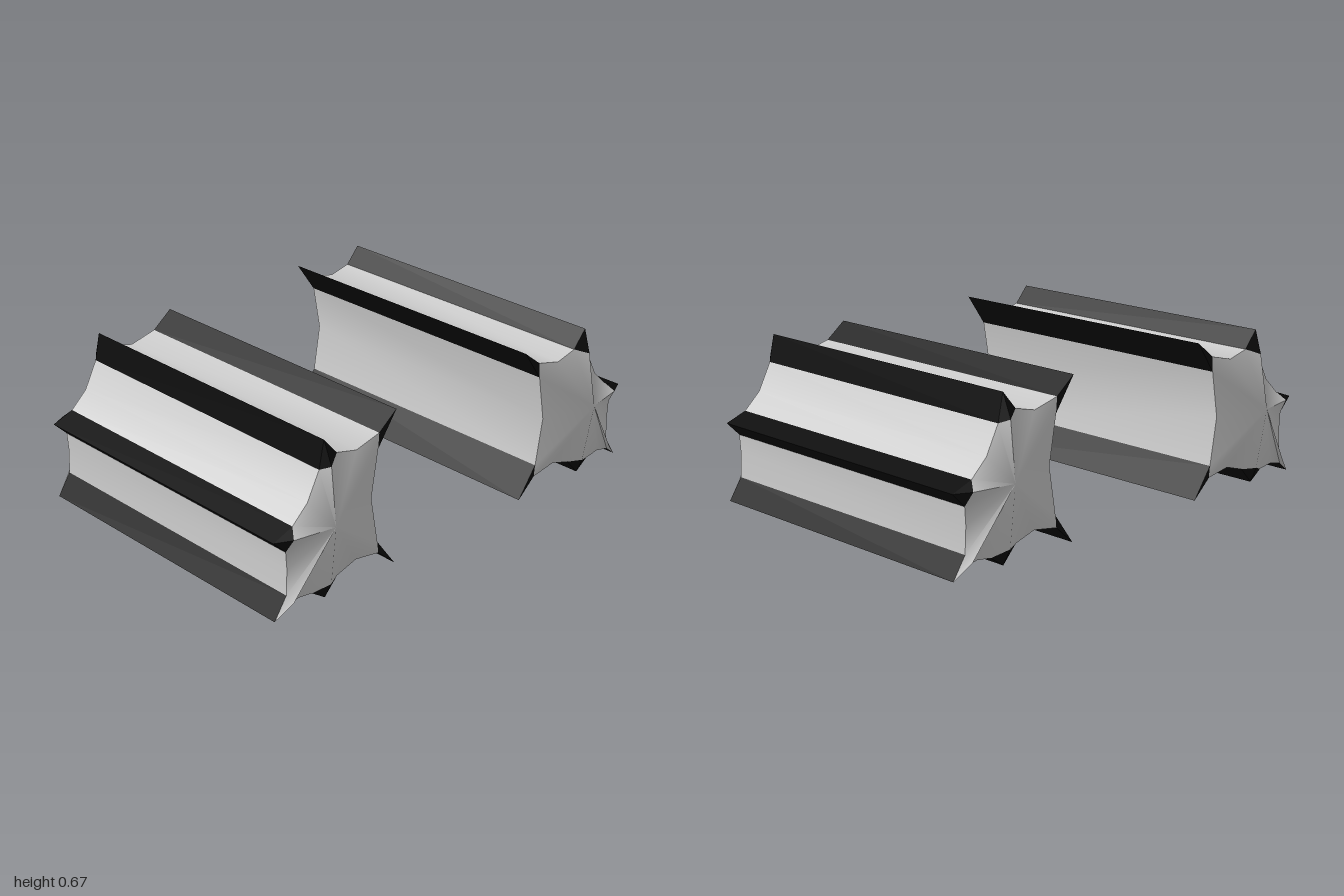
import * as THREE from 'three';
import { toCreasedNormals } from 'three/addons/utils/BufferGeometryUtils.js';

const HALF = 0.68; // half length of the body
const APEX = [0.75, 0.335, 0.75]; // centre of the domed end

// Ribs, clockwise seen from the front: edge, tip, edge, middle of the groove
// that follows, and (where the rib is bevelled) the raised inner point.
const RIBS = [
  { a: [0.465, 0.535], tip: [0.37, 0.67], b: [0.46, 0.6], mid: [0.58, 0.57] },
  { a: [0.68, 0.595], tip: [0.745, 0.67], b: [0.77, 0.555], mid: [0.83, 0.44], inner: [0.74, 0.57, 0.715] },
  { a: [0.905, 0.37], tip: [1, 0.335], b: [0.94, 0.275], mid: [0.935, 0.2], inner: [0.93, 0.335, 0.715] },
  { a: [0.94, 0.09], tip: [1, 0], b: [0.95, 0.04], mid: [0.88, 0.055], inner: [0.93, 0.065, 0.71], plain: true },
  { a: [0.81, 0.045], tip: [0.745, 0], b: [0.68, 0.07], mid: [0.58, 0.1], inner: [0.74, 0.07, 0.712] },
  { a: [0.46, 0.08], tip: [0.37, 0], b: [0.465, 0.13], mid: [0.5, 0.335] },
];

const grey = new THREE.MeshStandardMaterial({ color: 0xcccccc });
const black = new THREE.MeshStandardMaterial({ color: 0x0b0b0b });

// Collects triangles for one side (+1 left, -1 right) and makes a mesh
class Surface {
  constructor(side) {
    this.side = side;
    this.pos = [];
  }
  tri(p, q, r) {
    const order = this.side > 0 ? [p, q, r] : [p, r, q];
    for (const [x, y, z = HALF] of order) this.pos.push(x * this.side, y, z);
  }
  // strip running the whole length between two section points
  strip(p, q) {
    const pb = [...p, -HALF], qb = [...q, -HALF];
    this.tri(p, q, qb);
    this.tri(p, qb, pb);
  }
  // the same triangle on the front and back ends
  ends(p, q, r) {
    const back = ([x, y, z = HALF]) => [x, y, -z];
    this.tri(p, q, r);
    this.tri(back(p), back(r), back(q));
  }
  mesh(name, material, crease) {
    const geo = new THREE.BufferGeometry();
    geo.setAttribute('position', new THREE.Float32BufferAttribute(this.pos, 3));
    const mesh = new THREE.Mesh(toCreasedNormals(geo, crease), material);
    mesh.name = name;
    return mesh;
  }
}

function makeBar(side) {
  const grooves = new Surface(side);
  const ribs = new Surface(side);
  const caps = new Surface(side);
  const ring = [];

  for (let i = 0; i < RIBS.length; i++) {
    const { a, tip, b, mid, inner, plain } = RIBS[i];
    const next = RIBS[(i + 1) % RIBS.length].a;

    // concave groove between this rib and the next
    grooves.strip(b, mid);
    grooves.strip(mid, next);

    // rib sides
    ribs.strip(a, tip);
    ribs.strip(tip, b);

    // rib ends, flat or bevelled
    const target = plain ? caps : ribs;
    if (inner) {
      target.ends(a, inner, tip);
      target.ends(tip, inner, b);
      ring.push(a, inner, b, mid);
    } else {
      target.ends(a, b, tip);
      ring.push(a, b, mid);
    }
  }

  // domed ends fanned from the apex
  ring.forEach((p, i) => caps.ends(APEX, ring[(i + 1) % ring.length], p));

  const bar = new THREE.Group();
  bar.name = side > 0 ? 'leftBar' : 'rightBar';
  bar.add(
    grooves.mesh('grooves', grey, 1),
    ribs.mesh('ribs', black, 0.5),
    caps.mesh('endCaps', grey, 1.1),
  );
  return bar;
}

export function createModel() {
  const model = new THREE.Group();
  model.name = 'ribbedBars';
  for (const side of [1, -1]) model.add(makeBar(side));
  return model;
}
